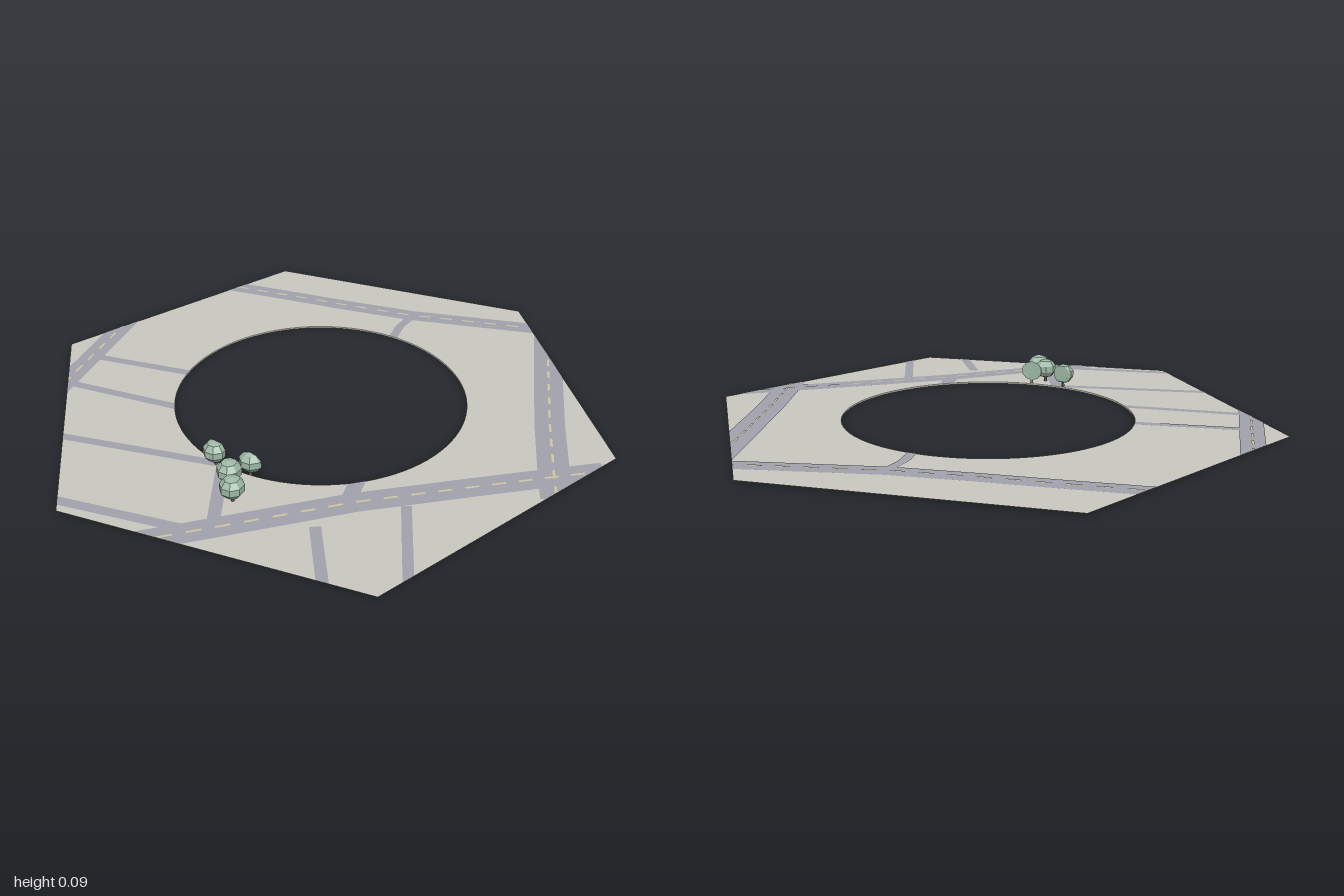
import * as THREE from 'three';
import { mergeVertices } from 'three/addons/utils/BufferGeometryUtils.js';

const HOLE = 0.5, TOP = 0.006;
const mat = (name, color, extra = {}) => Object.assign(new THREE.MeshStandardMaterial({ color, ...extra }), { name });

// The six sides of the plate, as [normal x, normal z, distance]
const SIDES = Array.from({ length: 6 }, (_, k) => {
  const a = Math.PI / 6 + k * Math.PI / 3;
  return [Math.cos(a), Math.sin(a), Math.sqrt(3) / 2];
});

// Keep the part of a convex polygon behind one line
function clip(poly, [nx, nz, d]) {
  const out = [];
  poly.forEach((p, i) => {
    const q = poly[(i + 1) % poly.length];
    const a = p[0] * nx + p[1] * nz - d, b = q[0] * nx + q[1] * nz - d;
    if (a <= 0) out.push(p);
    if (a * b < 0) {
      const t = a / (a - b);
      out.push([p[0] + (q[0] - p[0]) * t, p[1] + (q[1] - p[1]) * t]);
    }
  });
  return out;
}

// Flat upward-facing mesh from convex polygons in x, z
function flatMesh(name, polys, y, material) {
  const pos = [];
  for (const p of polys)
    for (let i = 1; i < p.length - 1; i++)
      for (const v of [p[0], p[i], p[i + 1]]) pos.push(v[0], y, v[1]);
  const g = new THREE.BufferGeometry();
  g.setAttribute('position', new THREE.Float32BufferAttribute(pos, 3));
  g.computeVertexNormals();
  const m = new THREE.Mesh(g, material);
  m.name = name;
  return m;
}

// Mitred strip along a path, trimmed to the plate and, if asked, to the hole at its end
function strip(path, width, toHole = false) {
  const dirs = path.slice(1).map((p, i) => new THREE.Vector2(p[0] - path[i][0], p[1] - path[i][1]).normalize());
  const offset = path.map((_, i) => {
    const a = dirs[Math.max(i - 1, 0)], b = dirs[Math.min(i, dirs.length - 1)];
    const d = a.clone().add(b).normalize();
    const w = width / 2 / d.dot(a);
    return [-d.y * w, d.x * w];
  });
  const side = (i, s) => [path[i][0] + s * offset[i][0], path[i][1] + s * offset[i][1]];
  const end = path[path.length - 1], r = Math.hypot(...end);
  return dirs.map((_, i) => {
    let poly = [side(i, 1), side(i + 1, 1), side(i + 1, -1), side(i, -1)];
    for (const s of SIDES) poly = clip(poly, s);
    if (toHole) poly = clip(poly, [-end[0] / r, -end[1] / r, -HOLE]);
    return poly;
  }).filter(p => p.length > 2);
}

// Short dashes along a path
function dashes(path) {
  const polys = [];
  const curve = new THREE.CurvePath();
  for (let i = 1; i < path.length; i++)
    curve.add(new THREE.LineCurve(new THREE.Vector2(...path[i - 1]), new THREE.Vector2(...path[i])));
  const len = curve.getLength();
  for (let s = 0.02; s + 0.045 < len; s += 0.085) {
    const a = curve.getPointAt(s / len), b = curve.getPointAt((s + 0.045) / len);
    polys.push(...strip([[a.x, a.y], [b.x, b.y]], 0.008));
  }
  return polys;
}

const MAIN_ROADS = [
  { width: 0.09, path: [[-0.93, 0.25], [-0.66, 0.365], [-0.29, 0.52], [0.05, 0.695], [0.27, 0.81], [0.42, 0.89]] },
  { width: 0.1, path: [[0.19, 0.89], [0.27, 0.81], [0.48, 0.61], [0.95, 0.19]] },
  { width: 0.075, path: [[0.2, -0.95], [0.38, -0.66], [0.5, -0.46], [0.64, -0.24], [0.98, 0.19]] },
  { width: 0.08, path: [[-0.74, -0.57], [-0.2, -0.92]] },
];

const LANES = [
  { width: 0.032, path: [[-0.47, -0.72], [-0.26, -0.4]], toHole: true },
  { width: 0.032, path: [[-0.64, -0.63], [-0.42, -0.25]], toHole: true },
  { width: 0.032, path: [[-0.83, -0.37], [-0.47, 0.14]], toHole: true },
  { width: 0.036, path: [[-1.0, -0.08], [-0.76, 0.29]] },
  { width: 0.04, path: [[-0.69, 0.36], [-0.48, 0.11]], toHole: true },
  { width: 0.05, path: [[-0.31, 0.51], [-0.19, 0.43]], toHole: true },
  { width: 0.035, path: [[-0.45, 0.535], [-0.62, 0.79]] },
  { width: 0.032, path: [[-0.18, 0.63], [-0.42, 0.9]] },
  { width: 0.032, path: [[0.66, -0.235], [0.55, -0.2], [0.45, -0.14]], toHole: true },
];

const TREES = [[-0.565, 0.285], [-0.525, 0.212], [-0.5, 0.1], [-0.442, 0.212]];

// Push anything overhanging the hole back to its rim
function trimToRim(geometry) {
  const p = geometry.attributes.position;
  for (let i = 0; i < p.count; i++) {
    const r = Math.hypot(p.getX(i), p.getZ(i));
    if (r < HOLE) p.setXYZ(i, p.getX(i) * HOLE / r, p.getY(i), p.getZ(i) * HOLE / r);
  }
  return geometry;
}

export function createModel() {
  const model = new THREE.Group();
  model.name = 'ringTile';
  const ground = mat('ground', 0xc8c7be, { side: THREE.DoubleSide });
  const asphalt = mat('asphalt', 0xa0a1ab);
  const paint = mat('roadPaint', 0xcfc59c);
  const foliage = mat('foliage', 0x9cb8a5, { flatShading: true });
  const bark = mat('bark', 0x77695c, { flatShading: true });

  // Hexagonal ground with a round hole
  const hex = new THREE.Shape(Array.from({ length: 6 }, (_, k) =>
    new THREE.Vector2(Math.cos(k * Math.PI / 3), Math.sin(k * Math.PI / 3))));
  hex.holes.push(new THREE.Path().absarc(0, 0, HOLE, 0, Math.PI * 2, true));
  const plate = new THREE.Mesh(new THREE.ShapeGeometry(hex, 48).rotateX(-Math.PI / 2), ground);
  plate.name = 'groundPlate';
  plate.position.y = TOP;
  model.add(plate);

  // Low wall around the hole
  const rim = new THREE.Mesh(new THREE.CylinderGeometry(HOLE, HOLE, TOP, 96, 1, true), ground);
  rim.name = 'holeWall';
  rim.position.y = TOP / 2;
  model.add(rim);

  // Roads, lanes and centre lines
  model.add(flatMesh('mainRoads', MAIN_ROADS.flatMap(r => strip(r.path, r.width)), TOP + 0.0015, asphalt));
  model.add(flatMesh('lanes', LANES.flatMap(r => strip(r.path, r.width, r.toHole)), TOP + 0.0013, asphalt));
  model.add(flatMesh('centreLines', MAIN_ROADS.flatMap(r => dashes(r.path)), TOP + 0.003, paint));

  // Faceted trees, cut off where they meet the hole
  TREES.forEach(([x, z]) => {
    const tree = new THREE.Group();
    tree.name = 'tree';
    const crownShape = new THREE.SphereGeometry(0.041, 8, 5).scale(1, 0.9, 1).translate(x, 0.057, z);
    const crown = new THREE.Mesh(trimToRim(mergeVertices(crownShape)), foliage);
    crown.name = 'crown';
    const trunk = new THREE.Mesh(trimToRim(new THREE.CylinderGeometry(0.005, 0.006, 0.03, 6).translate(x, 0.019, z)), bark);
    trunk.name = 'trunk';
    tree.add(crown, trunk);
    model.add(tree);
  });
  return model;
}
